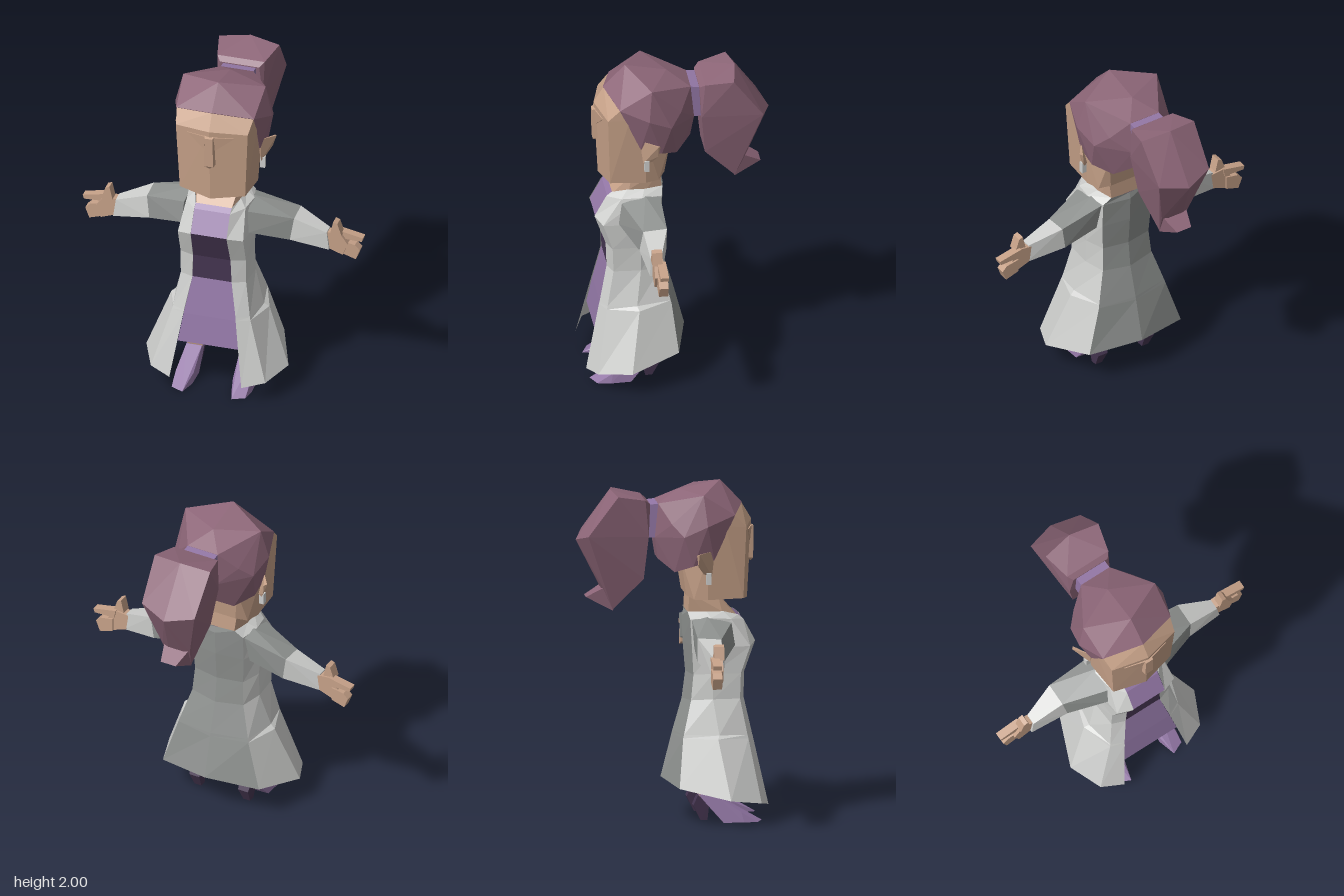
import * as THREE from 'three';
import { ConvexGeometry } from 'three/addons/geometries/ConvexGeometry.js';

const mat = (name, color, extra = {}) => {
  const m = new THREE.MeshStandardMaterial({ color, flatShading: true, ...extra });
  m.name = name;
  return m;
};

export function createModel() {
  const model = new THREE.Group();
  const skin = mat('skin', 0xc6a188);
  const hair = mat('plumHair', 0x8d6678);
  const purple = mat('purple', 0x9377a6, { side: THREE.DoubleSide });
  const dark = mat('darkPurple', 0x463652, { side: THREE.DoubleSide });
  const coat = mat('lightGrey', 0xcdcecc, { side: THREE.DoubleSide });
  const coatShade = mat('midGrey', 0x8e918f, { side: THREE.DoubleSide });

  const add = (name, geometry, material) => {
    const mesh = new THREE.Mesh(geometry, material);
    mesh.name = name;
    model.add(mesh);
  };
  // Faceted solid around points; s = -1 flips it to the right side
  const solid = (name, material, pts, s = 1) =>
    add(name, new ConvexGeometry(pts.map(([x, y, z]) => new THREE.Vector3(s * x, y, z))), material);
  // Solid symmetrical about x = 0
  const symmetric = (name, material, pts) =>
    solid(name, material, pts.flatMap(([x, y, z]) => (x ? [[x, y, z], [-x, y, z]] : [[x, y, z]])));
  // Faceted sheet through rows of points
  const sheet = (name, material, rows) => {
    const pos = [];
    for (let r = 0; r + 1 < rows.length; r++)
      for (let i = 0; i + 1 < rows[r].length; i++) {
        const a = rows[r][i], b = rows[r][i + 1], c = rows[r + 1][i + 1], d = rows[r + 1][i];
        pos.push(...a, ...b, ...d, ...b, ...c, ...d);
      }
    const g = new THREE.BufferGeometry();
    g.setAttribute('position', new THREE.Float32BufferAttribute(pos, 3));
    g.computeVertexNormals();
    add(name, g, material);
  };

  // Head and neck
  symmetric('head', skin, [
    [0, 1.865, 0.42], [0.235, 1.825, 0.355], [0, 1.765, 0.48], [0.22, 1.75, 0.425],
    [0, 1.3, 0.455], [0.2, 1.325, 0.41], [0.243, 1.76, 0.3], [0.238, 1.6, 0.2],
    [0.215, 1.32, 0.2], [0.19, 1.32, 0.12], [0.13, 1.34, 0.08], [0.16, 1.55, 0.05],
  ]);
  symmetric('neck', skin, [
    [0.13, 1.33, 0.27], [0.13, 1.35, 0.1], [0.14, 1.24, 0.29], [0.108, 1.205, 0.385],
    [0.13, 1.21, 0.2], [0.115, 1.23, 0.095],
  ]);
  symmetric('nose', skin, [
    [0.03, 1.735, 0.465], [0.024, 1.725, 0.492], [0.028, 1.535, 0.488], [0.036, 1.54, 0.45], [0, 1.515, 0.475],
  ]);

  // Hair cap, tie and ponytail
  symmetric('hairCap', hair, [
    [0, 1.865, 0.425], [0.238, 1.825, 0.357], [0, 2, 0.295], [0.252, 1.945, 0.17],
    [0.295, 1.765, 0.19], [0.238, 1.56, 0.235], [0.245, 1.525, 0.11], [0.16, 1.48, 0.01],
    [0, 1.95, 0.05], [0.2, 1.77, -0.01], [0.1, 1.88, -0.08], [0.1, 1.68, -0.1],
    [0.08, 1.55, -0.08], [0.265, 1.7, 0.055],
  ]);
  symmetric('hairTie', purple, [
    [0.1, 1.88, -0.07], [0.1, 1.68, -0.09], [0.1, 1.87, -0.165], [0.1, 1.68, -0.165],
  ]);
  symmetric('ponytail', hair, [
    [0.12, 1.88, -0.13], [0.145, 1.905, -0.16], [0.14, 1.69, -0.14], [0.1, 1.435, -0.165],
    [0, 1.955, -0.355], [0.185, 1.935, -0.325], [0.175, 1.7, -0.5], [0, 1.66, -0.555],
    [0.09, 1.38, -0.4], [0.07, 1.25, -0.345],
  ]);
  symmetric('ponytailTip', hair, [
    [0.09, 1.4, -0.37], [0.05, 1.325, -0.5], [0.07, 1.245, -0.345], [0.08, 1.42, -0.25],
  ]);

  // Coat: rows from collar to hem, each from front edge to the middle of the back
  const coatRows = [
    [[0.11, 1.215, 0.39], [0.14, 1.24, 0.3], [0.145, 1.24, 0.2], [0.12, 1.24, 0.09], [0, 1.24, 0.08]],
    [[0.11, 1.19, 0.42], [0.18, 1.2, 0.34], [0.2, 1.21, 0.22], [0.17, 1.2, 0.1], [0, 1.2, 0.07]],
    [[0.11, 1.06, 0.49], [0.2, 1.04, 0.45], [0.215, 1.04, 0.25], [0.17, 1.04, 0.11], [0, 1.05, 0.075]],
    [[0.115, 0.88, 0.425], [0.2, 0.88, 0.395], [0.205, 0.88, 0.23], [0.16, 0.87, 0.12], [0, 0.87, 0.09]],
    [[0.12, 0.73, 0.42], [0.2, 0.73, 0.39], [0.21, 0.73, 0.23], [0.17, 0.72, 0.105], [0, 0.71, 0.07]],
    [[0.158, 0.52, 0.465], [0.235, 0.52, 0.43], [0.27, 0.525, 0.26], [0.228, 0.525, 0.056], [0, 0.52, 0.015]],
    [[0.16, 0.5, 0.47], [0.24, 0.5, 0.435], [0.3, 0.505, 0.25], [0.233, 0.505, 0.051], [0, 0.5, 0.01]],
    [[0.22, 0.105, 0.555], [0.35, 0.13, 0.5], [0.435, 0.16, 0.31], [0.32, 0.22, 0.02], [0, 0.245, -0.055]],
  ];
  const flip = ([x, y, z]) => [-x, y, z];
  sheet('leftCoatSide', coat, coatRows.map((row) => row.slice(0, 4)));
  sheet('rightCoatSide', coat, coatRows.map((row) => row.slice(0, 4).reverse().map(flip)));
  sheet('coatBack', coatShade, coatRows.map((row) => [row[3], row[4], flip(row[3])]));

  // Dress: rows of half width, height, front depth, back half width, back depth
  const dress = [
    [0.11, 1.215, 0.387, 0.1, 0.12], [0.11, 1.19, 0.415, 0.12, 0.13], [0.11, 1.06, 0.486, 0.13, 0.13],
    [0.115, 0.88, 0.421, 0.13, 0.14], [0.12, 0.73, 0.416, 0.14, 0.13],
    [0.16, 0.5, 0.464, 0.17, 0.11], [0.187, 0.325, 0.495, 0.18, 0.1],
  ].map(([x, y, f, bx, b]) => [[bx, y, b], [x, y, f], [-x, y, f], [-bx, y, b], [bx, y, b]]);
  sheet('dressTop', purple, dress.slice(0, 3));
  sheet('dressWaist', dark, dress.slice(2, 5));
  sheet('dressSkirt', purple, dress.slice(4));

  for (const s of [1, -1]) {
    const side = s > 0 ? 'left' : 'right';
    const part = (name, material, pts) => solid(side + name, material, pts, s);

    // Brow, ear and earring
    part('Brow', skin, [
      [0.025, 1.73, 0.48], [0.145, 1.725, 0.447], [0.08, 1.69, 0.46], [0.035, 1.64, 0.469],
      [0.025, 1.73, 0.45], [0.145, 1.725, 0.42], [0.035, 1.64, 0.45],
    ]);
    part('Ear', skin, [
      [0.225, 1.58, 0.235], [0.24, 1.615, 0.23], [0.31, 1.605, 0.14], [0.295, 1.6, 0.125],
      [0.285, 1.53, 0.135], [0.24, 1.465, 0.22], [0.225, 1.48, 0.19], [0.255, 1.48, 0.17],
    ]);
    const earring = new THREE.BoxGeometry(0.03, 0.07, 0.028);
    earring.translate(s * 0.245, 1.452, 0.2);
    add(side + 'Earring', earring, coat);

    // Sleeve: shaded upper half, light lower half
    const elbow = [[0.45, 1.135, 0.11], [0.45, 1.125, 0.25], [0.43, 0.99, 0.27], [0.43, 0.995, 0.11]];
    part('UpperSleeve', coatShade, [
      [0.185, 1.215, 0.2], [0.175, 1.195, 0.11], [0.195, 1.18, 0.34], [0.205, 1.05, 0.36],
      [0.205, 1.04, 0.12], ...elbow,
    ]);
    part('LowerSleeve', coat, [
      ...elbow, [0.645, 1.06, 0.17], [0.645, 1.055, 0.235], [0.66, 0.945, 0.24], [0.66, 0.945, 0.17],
    ]);

    // Hand: palm, thumb, forefinger and the other fingers, as outlines with a thickness
    const slab = (name, outline, z0, z1) =>
      part(name, skin, outline.flatMap(([x, y]) => [[x, y, z0], [x, y, z1]]));
    slab('Palm', [[0.63, 1.05], [0.645, 0.95], [0.74, 0.915], [0.77, 0.99], [0.72, 1.06]], 0.165, 0.225);
    slab('Thumb', [[0.665, 1.05], [0.735, 1.05], [0.71, 1.125], [0.685, 1.135]], 0.175, 0.235);
    slab('Forefinger', [[0.71, 1.065], [0.72, 1.015], [0.85, 1.01], [0.857, 1.035]], 0.155, 0.205);
    slab('Fingers', [[0.73, 1.0], [0.73, 0.917], [0.815, 0.89], [0.84, 0.955], [0.81, 0.985]], 0.155, 0.21);

    // Leg
    part('Leg', skin, [
      [0.08, 0.5, 0.28], [0.17, 0.5, 0.28], [0.08, 0.5, 0.14], [0.17, 0.5, 0.14],
      [0.09, 0.32, 0.27], [0.19, 0.32, 0.27], [0.115, 0.15, 0.24], [0.205, 0.15, 0.24],
      [0.12, 0.15, 0.15], [0.2, 0.15, 0.15],
    ]);

    // Shoe with raised heel
    part('Shoe', purple, [
      [0.115, 0.16, 0.245], [0.21, 0.16, 0.245], [0.12, 0.165, 0.145], [0.205, 0.165, 0.145],
      [0.125, 0.11, 0.19], [0.21, 0.11, 0.19], [0.12, 0, 0.285], [0.235, 0, 0.29],
      [0.12, 0.06, 0.395], [0.228, 0.06, 0.395], [0.12, 0, 0.42], [0.24, 0, 0.41],
      [0.15, 0, 0.525], [0.225, 0, 0.49],
    ]);
    part('ShoeHeel', dark, [
      [0.122, 0.16, 0.142], [0.203, 0.16, 0.142], [0.13, 0.1, 0.115], [0.195, 0.1, 0.115],
      [0.14, 0.01, 0.16], [0.185, 0.01, 0.16], [0.14, 0.01, 0.2], [0.185, 0.01, 0.2],
      [0.13, 0.12, 0.21], [0.2, 0.12, 0.21],
    ]);
  }
  return model;
}
